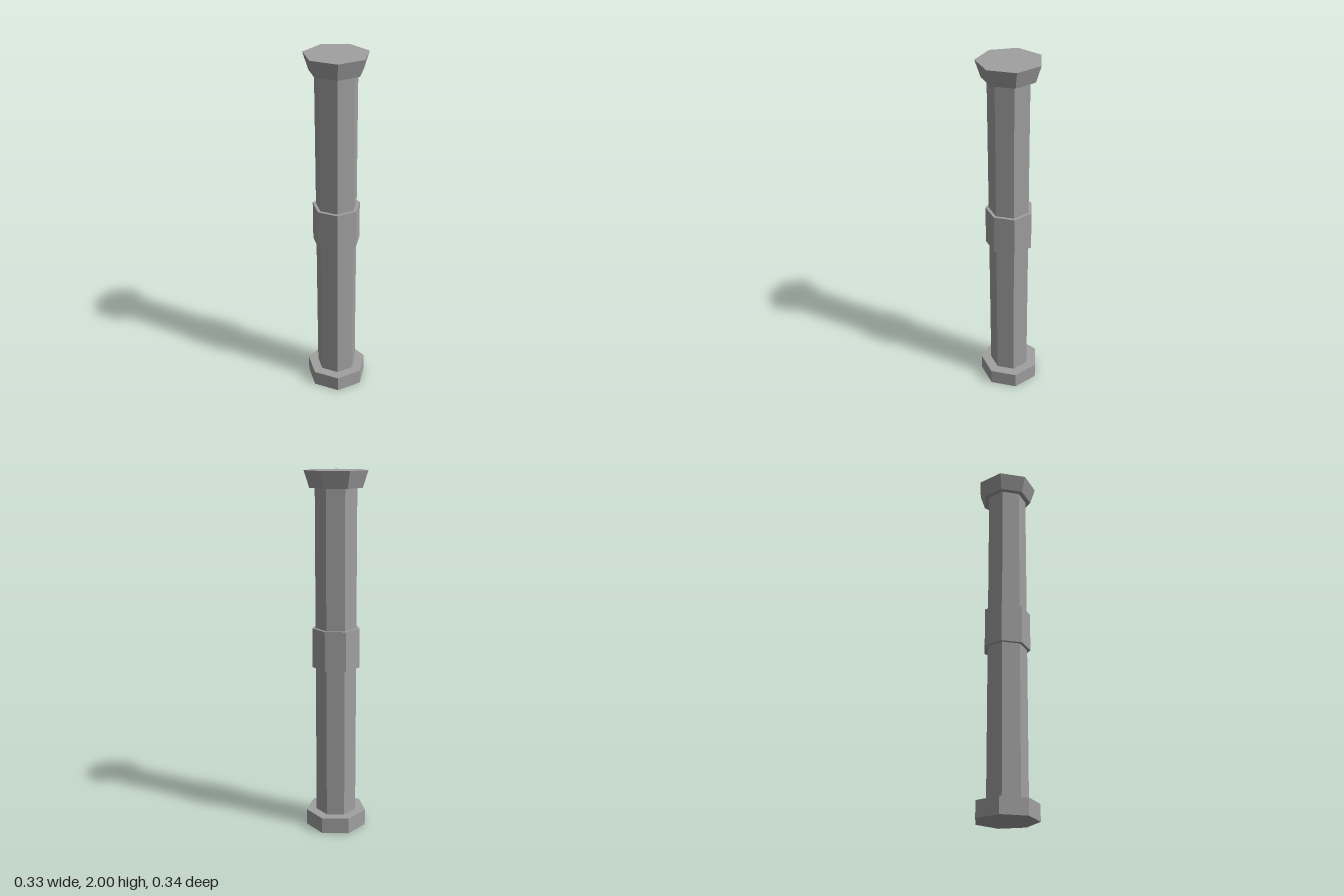
import * as THREE from 'three';

export function createModel() {
  const group = new THREE.Group();
  group.name = 'column';
  const stone = new THREE.MeshStandardMaterial({ color: 0xa0a0a0, flatShading: true });
  stone.name = 'grey stone';

  // Seven-sided drum with one corner pointing to +x
  const drum = (name, y0, y1, rBottom, rTop = rBottom, open = false) => {
    const geometry = new THREE.CylinderGeometry(rTop, rBottom, y1 - y0, 7, 1, open, Math.PI / 2);
    const mesh = new THREE.Mesh(geometry, stone);
    mesh.name = name;
    mesh.position.set(-0.009, (y0 + y1) / 2, 0);
    group.add(mesh);
  };

  drum('base', 0, 0.09, 0.172);
  drum('lowerShaft', 0.09, 0.94, 0.114, 0.114, true);
  drum('collar', 0.94, 1.16, 0.132);
  drum('upperShaft', 1.16, 1.91, 0.114, 0.114, true);
  drum('capital', 1.91, 2, 0.143, 0.172); // flares outward to the top
  return group;
}
